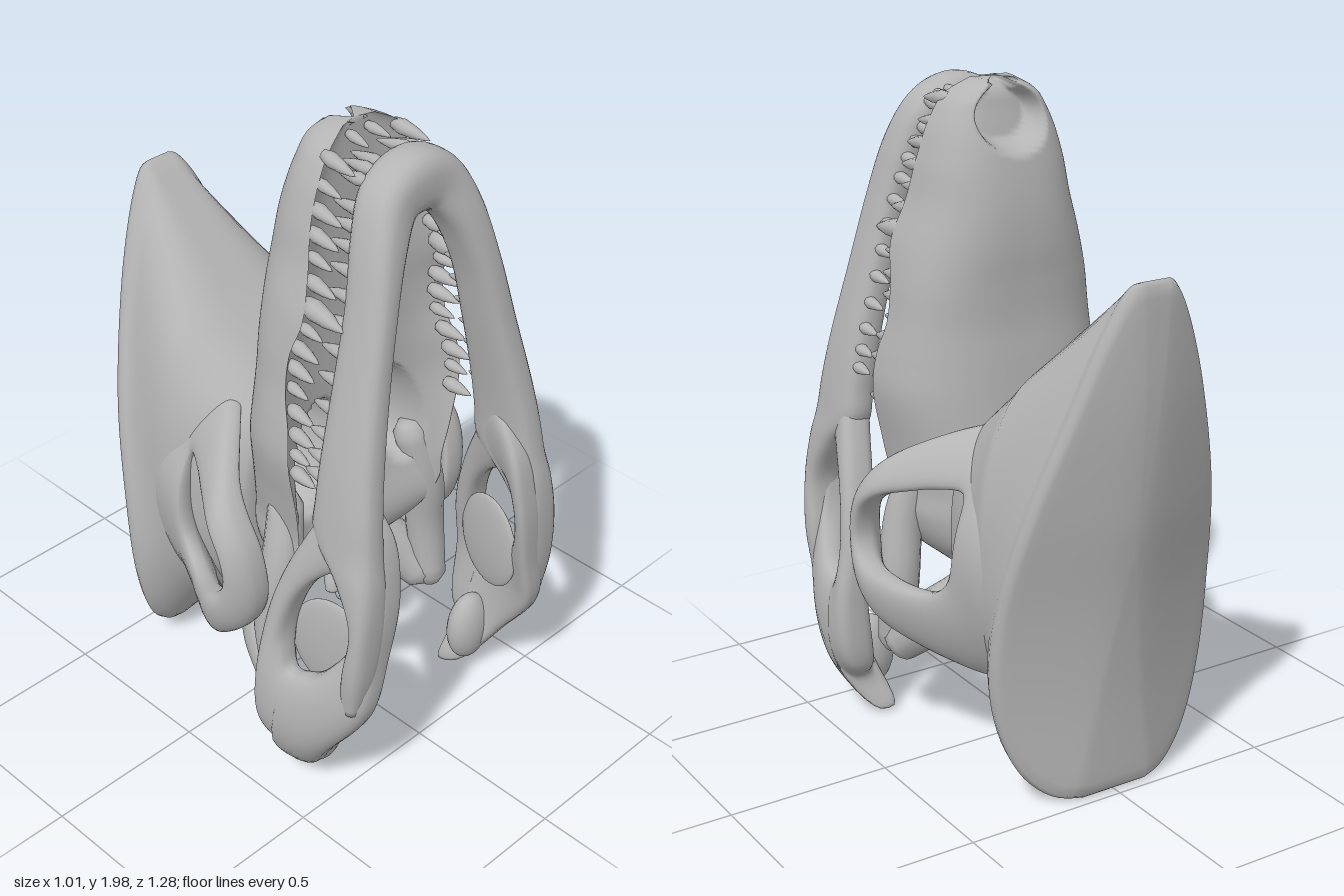
import * as THREE from 'three';

const V = (x, y, z) => new THREE.Vector3(x, y, z);
const spow = (v, p) => Math.sign(v) * Math.pow(Math.abs(v), p);
const smooth = THREE.MathUtils.smoothstep;

// Smooth table lookup: rows are [key, ...values], keys ascending
function table(rows) {
  const size = rows[0].length - 1;
  const it = new THREE.CubicInterpolant(rows.map(r => r[0]), rows.flatMap(r => r.slice(1)), size, new Float32Array(size));
  const lo = rows[0][0], hi = rows[rows.length - 1][0];
  return t => Array.from(it.evaluate(Math.min(hi - 1e-5, Math.max(lo, t))));
}

// Skin over rings of points, either capped or looped, always facing outwards
function loft(rings, looped = false) {
  const n = rings[0].length, m = rings.length, pos = [], idx = [];
  rings.forEach(r => r.forEach(p => pos.push(p.x, p.y, p.z)));
  for (let i = 0; i < (looped ? m : m - 1); i++) {
    for (let j = 0; j < n; j++) {
      const a = i * n + j, b = i * n + (j + 1) % n, k = ((i + 1) % m) * n;
      const c = k + j, d = k + (j + 1) % n;
      idx.push(a, b, c, b, d, c);
    }
  }
  if (!looped) {
    [0, m - 1].forEach(e => {
      const c = rings[e].reduce((s, p) => s.add(p), V(0, 0, 0)).divideScalar(n), ci = pos.length / 3;
      pos.push(c.x, c.y, c.z);
      for (let j = 0; j < n; j++) {
        const a = e * n + j, b = e * n + (j + 1) % n;
        idx.push(...(e ? [ci, a, b] : [ci, b, a]));
      }
    });
  }
  const P = i => V(pos[3 * i], pos[3 * i + 1], pos[3 * i + 2]);
  let vol = 0;
  for (let i = 0; i < idx.length; i += 3) vol += P(idx[i]).dot(P(idx[i + 1]).cross(P(idx[i + 2])));
  if (vol < 0) idx.reverse();
  const g = new THREE.BufferGeometry();
  g.setAttribute('position', new THREE.Float32BufferAttribute(pos, 3));
  g.setIndex(idx);
  g.computeVertexNormals();
  return g;
}

// Curved plate with a window; outer and hole are matching [z, y] outlines
function windowPlate(outer, hole, xAt, thick, side) {
  const curve = pts => new THREE.CatmullRomCurve3(pts.map(p => V(0, p[1], p[0])), true);
  const co = curve(outer), ch = curve(hole), rings = [], N = 96, M = 28;
  for (let i = 0; i < N; i++) {
    const o = co.getPoint(i / N), h = ch.getPoint(i / N), ring = [];
    for (let j = 0; j < M; j++) {
      const b = j / M * Math.PI * 2;
      const p = h.clone().lerp(o, (1 + spow(Math.cos(b), 0.9)) / 2);
      p.x = side * (xAt(p.z, p.y) + thick(p.z, p.y) * spow(Math.sin(b), 0.65));
      ring.push(p);
    }
    rings.push(ring);
  }
  return loft(rings, true);
}

// Tapered round bar through points [x, y, z, radius]
function bar(pts, side) {
  const c = new THREE.CatmullRomCurve3(pts.map(p => V(p[0] * side, p[1], p[2]))), N = 20, M = 14;
  const rad = table(pts.map((p, i) => [i / (pts.length - 1), p[3]])), f = c.computeFrenetFrames(N);
  const rings = [];
  for (let i = 0; i <= N; i++) {
    const o = c.getPointAt(i / N), r = rad(i / N)[0] * (i === 0 || i === N ? 0.6 : 1);
    rings.push(Array.from({ length: M }, (_, j) => {
      const a = j / M * Math.PI * 2;
      return o.clone().addScaledVector(f.normals[i], r * Math.cos(a)).addScaledVector(f.binormals[i], r * Math.sin(a));
    }));
  }
  return loft(rings);
}

export function createModel() {
  const root = new THREE.Group();
  const bone = new THREE.MeshStandardMaterial({ color: 0xb4b4b4 });
  bone.name = 'bone grey';
  const add = (name, geo) => {
    const m = new THREE.Mesh(geo, bone);
    m.name = name;
    root.add(m);
    return m;
  };

  // Upper snout: y, half width, back z, tooth edge z
  const snout = table([
    [0.55, 0.17, 0.0, 0.19], [0.62, 0.25, -0.03, 0.24], [0.72, 0.30, -0.04, 0.275], [0.8, 0.30, -0.04, 0.28],
    [0.92, 0.32, -0.03, 0.29], [1.1, 0.35, -0.01, 0.29], [1.2, 0.34, 0, 0.28], [1.3, 0.32, 0.01, 0.25],
    [1.42, 0.305, 0.01, 0.25], [1.53, 0.285, 0.005, 0.28], [1.65, 0.245, 0.01, 0.26], [1.78, 0.215, 0.03, 0.24],
    [1.9, 0.17, 0.06, 0.23], [1.96, 0.125, 0.08, 0.22], [1.995, 0.06, 0.12, 0.2]]);
  const dent = (x, y, cx, cy, rx, ry) => smooth(1 - Math.hypot((x - cx) / rx, (y - cy) / ry), 0, 0.3);
  const snoutRings = [];
  for (let i = 0; i <= 110; i++) {
    const y = 0.55 + 1.445 * i / 110, [w, zb, zf] = snout(y);
    snoutRings.push(Array.from({ length: 120 }, (_, j) => {
      const a = (j + 0.5) / 120 * Math.PI * 2, c = Math.cos(a), s = Math.sin(a);
      if (s > 0) { // outer dome with nostril pit open towards the tip
        const x = w * spow(c, 0.75), z = zf + (zb - zf) * Math.pow(s, 0.72);
        return V(x, y, z + 0.085 * Math.max(dent(x, y, 0, 1.89, 0.12, 0.1), dent(x, y, 0, 1.98, 0.04, 0.12)));
      }
      const x = w * c, ax = Math.abs(x); // palate with paired openings
      const z = THREE.MathUtils.lerp(zf, 0.19, (1 - c ** 4) * smooth(y, 0.55, 0.85));
      return V(x, y, z - 0.14 * dent(ax + (y - 1) * 0.2, y, 0.16, 0.98, 0.1, 0.19));
    }));
  }
  add('upperSnout', loft(snoutRings));

  // Lower jaw arch: sweep of x, y, half width, back z, front z, from one front bar over the tip to the other
  const half = [[0.39, 0.42, 0.03, 0.55, 0.61], [0.378, 0.56, 0.052, 0.56, 0.635], [0.362, 0.72, 0.058, 0.575, 0.642], [0.348, 0.85, 0.062, 0.5, 0.635],
    [0.336, 0.95, 0.06, 0.4, 0.618], [0.323, 1.06, 0.058, 0.392, 0.602], [0.298, 1.2, 0.056, 0.39, 0.58], [0.252, 1.4, 0.052, 0.385, 0.55],
    [0.203, 1.6, 0.05, 0.375, 0.525], [0.15, 1.76, 0.062, 0.345, 0.495], [0.085, 1.86, 0.08, 0.315, 0.465]];
  const stations = [...half, [0, 1.89, 0.09, 0.31, 0.46], ...half.slice().reverse().map(r => [-r[0], ...r.slice(1)])];
  const arch = table(stations.map((r, i) => [i, ...r]));
  const archRings = [];
  for (let i = 0; i <= 154; i++) {
    const t = i / 7, [x, y, w, zb, zf] = arch(t), p = arch(t - 0.02), q = arch(t + 0.02);
    const d = Math.hypot(q[0] - p[0], q[1] - p[1]) || 1, nx = (q[1] - p[1]) / d, ny = -(q[0] - p[0]) / d;
    archRings.push(Array.from({ length: 28 }, (_, j) => {
      const a = j / 28 * Math.PI * 2, u = w * spow(Math.cos(a), 0.75);
      return V(x + nx * u, y + ny * u, (zb + zf) / 2 + (zf - zb) / 2 * spow(Math.sin(a), 0.75));
    }));
  }
  add('lowerJawArch', loft(archRings));

  // Rear skull: curved back shield tapering forwards to the forehead and sloping floor
  const shieldW = table([[0, 0.29], [0.1, 0.345], [0.3, 0.38], [0.6, 0.365], [0.9, 0.315], [1.2, 0.235], [1.45, 0.16], [1.55, 0.12], [1.59, 0.1]]);
  const shieldZ = table([[0, -0.5], [0.33, -0.505], [0.6, -0.53], [0.92, -0.585], [1.24, -0.625], [1.59, -0.64]]);
  const angles = Array.from({ length: 100 }, (_, j) => (j + 0.5) / 100 * Math.PI * 2);
  const shield = (s, dz) => angles.map(a => {
    const y = 0.795 + 0.785 * Math.sin(a), x = s * shieldW(y)[0] * spow(Math.cos(a), 0.3), ys = 0.795 + (y - 0.795) * s;
    return V(x, ys, shieldZ(ys)[0] + 0.37 * (Math.hypot(x, 0.08) - 0.08) + dz);
  });
  const section = (z, yb, yt, w) => angles.map(a =>
    V(w * spow(Math.cos(a), 0.62), (yb + yt) / 2 + (yt - yb) / 2 * spow(Math.sin(a), 0.85), z));
  const spread = Array.from({ length: 14 }, (_, i) => shield(0.03 + 0.07 * i, 0));
  add('rearSkull', loft([...spread, shield(0.985, 0.003), shield(1, 0.018), shield(0.99, 0.04), shield(0.95, 0.075),
    section(-0.3, 0.18, 1.29, 0.34), section(-0.24, 0.235, 1.235, 0.325), section(-0.18, 0.285, 1.185, 0.315),
    section(-0.1, 0.34, 1.12, 0.3), section(-0.04, 0.38, 1.07, 0.285), section(0, 0.42, 1.03, 0.26), section(0.01, 0.5, 0.98, 0.22)]));

  // Outlines of the paired plates as [z, y]
  const jawOuter = [[0.49, 1.1], [0.59, 1], [0.637, 0.8], [0.635, 0.58], [0.62, 0.4], [0.5, 0.21], [0.38, 0.04], [0.31, 0.02],
    [0.345, 0.13], [0.28, 0.2], [0.27, 0.42], [0.29, 0.66], [0.37, 0.9]];
  const jawHole = [[0.5, 0.85], [0.55, 0.84], [0.58, 0.77], [0.56, 0.63], [0.5, 0.53], [0.46, 0.49], [0.42, 0.475], [0.4, 0.47],
    [0.375, 0.48], [0.36, 0.52], [0.35, 0.6], [0.38, 0.72], [0.44, 0.81]];
  const jawX = table([[0, 0.3], [0.1, 0.36], [0.2, 0.41], [0.4, 0.435], [0.6, 0.405], [0.8, 0.375], [1, 0.343], [1.17, 0.315]]);
  const wingOuter = [[0.24, 0.65], [0.215, 0.8], [0.14, 0.91], [0.03, 1], [-0.12, 1.07], [-0.3, 1.07], [-0.36, 0.75], [-0.34, 0.36],
    [-0.17, 0.31], [0, 0.37], [0.13, 0.46], [0.21, 0.54]];
  const wingHole = [[0.16, 0.7], [0.14, 0.78], [0.08, 0.84], [0, 0.87], [-0.08, 0.89], [-0.15, 0.89], [-0.165, 0.8], [-0.14, 0.63],
    [-0.08, 0.58], [0, 0.58], [0.08, 0.61], [0.14, 0.65]];
  const wingX = table([[-0.37, 0.27], [-0.28, 0.295], [-0.2, 0.32], [-0.1, 0.37], [0, 0.425], [0.1, 0.468], [0.17, 0.455], [0.25, 0.4]]);

  // Tooth: slim bulged cone pointing along +z
  const tooth = new THREE.LatheGeometry([[0, -0.15], [0.75, -0.05], [1, 0.2], [0.75, 0.55], [0.35, 0.85], [0, 1]]
    .map(p => new THREE.Vector2(p[0], p[1])), 10);
  tooth.rotateX(Math.PI / 2);
  const addTooth = (name, x, y, z, r, len, dir) => {
    const m = add(name, tooth);
    m.position.set(x, y, z);
    m.scale.set(r, r, len);
    m.rotation.set(dir > 0 ? 0.12 : Math.PI - 0.12, dir * Math.sign(x) * 0.08, 0);
  };

  for (const s of [1, -1]) {
    const side = s > 0 ? 'left' : 'right';
    add(side + 'JawPlate', windowPlate(jawOuter, jawHole, (z, y) => jawX(y)[0] - 0.75 * Math.max(0, z - 0.3) ** 2,
      (z, y) => 0.052 + 0.012 * smooth(0.45 - y, 0, 0.25), s));
    add(side + 'CheekWing', windowPlate(wingOuter, wingHole, (z, y) => wingX(z)[0] - (y > 0.7 ? 1.4 : 0.8) * (y - 0.7) ** 2,
      () => 0.05, s));

    // Inner wall behind the jaw window
    const wall = add(side + 'JawInnerWall', new THREE.SphereGeometry(1, 28, 18));
    wall.scale.set(0.022, 0.16, 0.13);
    wall.position.set(s * 0.34, 0.55, 0.45);
    wall.rotation.y = -s * 0.2;

    // Jaw joint lobe
    const lobe = add(side + 'JawJoint', new THREE.SphereGeometry(1, 24, 16));
    lobe.scale.set(0.08, 0.12, 0.055);
    lobe.position.set(s * 0.325, 0.19, 0.4);

    // Struts of the skull base
    add(side + 'Quadrate', bar([[0.03, 0.54, 0.09, 0.07], [0.17, 0.47, 0.06, 0.08], [0.27, 0.39, 0.12, 0.08], [0.33, 0.28, 0.22, 0.06]], s));
    add(side + 'CheekStrut', bar([[0.33, 0.27, 0.23, 0.05], [0.325, 0.5, 0.2, 0.06], [0.3, 0.7, 0.21, 0.06], [0.25, 0.9, 0.18, 0.05]], s));
    add(side + 'BaseKnob', bar([[0.02, 0.52, 0.15, 0.04], [0.06, 0.46, 0.18, 0.03], [0.07, 0.43, 0.19, 0.02]], s));

    // Upper and lower tooth rows
    addTooth('upperTooth', s * 0.035, 1.965, 0.2, 0.016, 0.08, 1);
    for (let i = 0; i < 15; i++) {
      const y = 1.94 - i * 0.063, [w, , zf] = snout(y), big = i === 6 ? 1.4 : i % 3 === 1 ? 0.8 : 1;
      addTooth('upperTooth', s * w * 0.9, y, zf - 0.015, 0.022 * big, (0.118 - 0.002 * i) * big, 1);
    }
    for (let i = 0; i < 15; i++) {
      const [x, y, w, zb] = arch(10.75 - i * 0.38);
      addTooth('lowerTooth', s * (x + w * 0.4), y + (i < 3 ? 0.05 : 0.01), zb + 0.02, 0.019, 0.115 - 0.003 * i, -1);
    }
  }

  // Central skull base and condyle
  add('skullBase', bar([[0, 0.64, 0.12, 0.12], [0, 0.55, 0.14, 0.08], [0, 0.47, 0.15, 0.055], [0, 0.4, 0.17, 0.03]], 1));
  add('condyle', new THREE.SphereGeometry(0.032, 20, 14)).position.set(0, 0.385, 0.175);
  return root;
}
